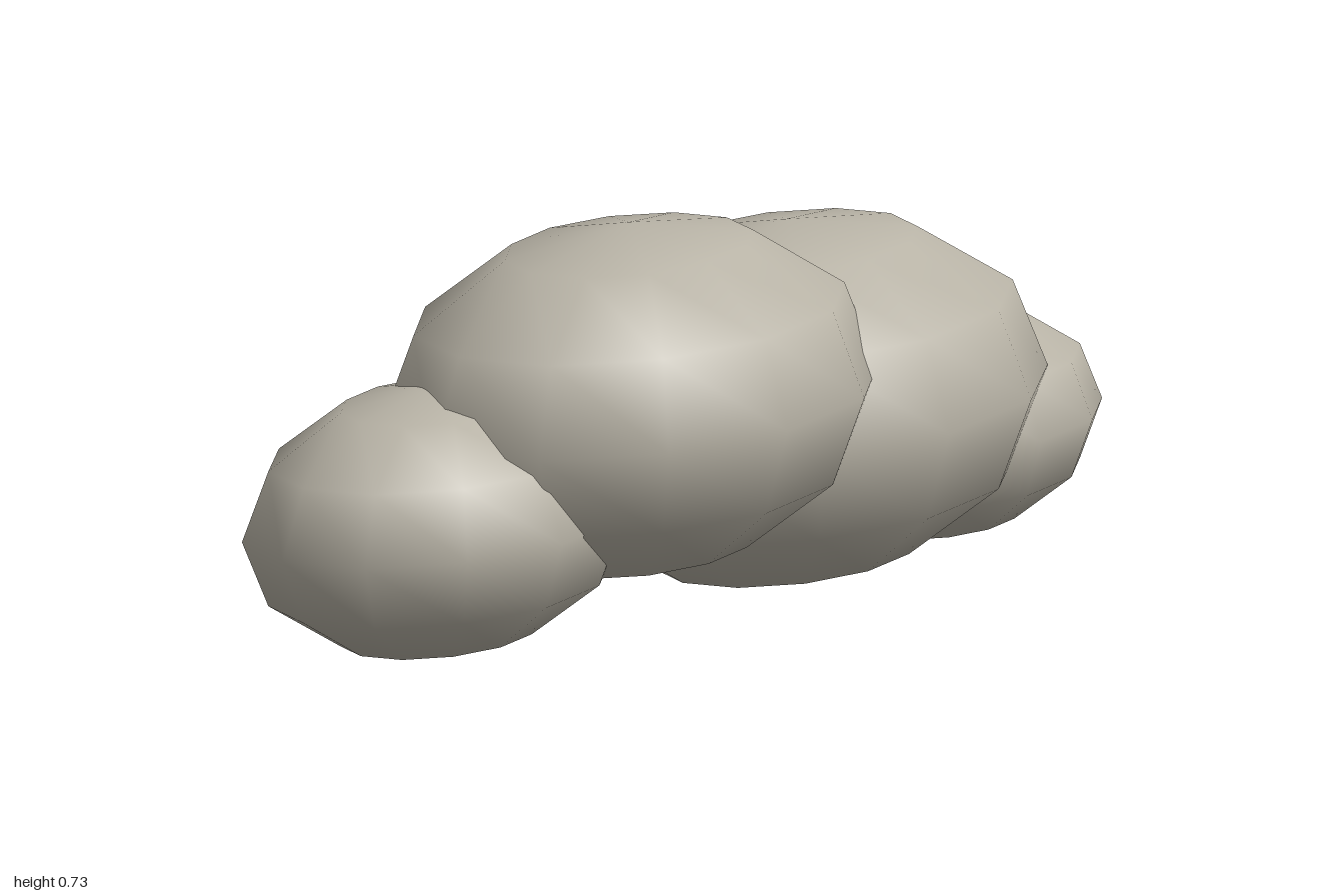
import * as THREE from 'three';

export function createModel() {
  const group = new THREE.Group();
  group.name = 'puffCluster';

  const stone = new THREE.MeshStandardMaterial({ color: 0xb8b3a6 });
  stone.name = 'warmGrey';

  // One coarse, smooth-shaded ball stretched into every lobe
  const ball = new THREE.SphereGeometry(1, 12, 6);

  // name, centre, radii
  const lobes = [
    ['leftEndLobe', [0.665, 0.205, -0.03], [0.335, 0.2, 0.235]],
    ['leftMainLobe', [0.285, 0.315, -0.032], [0.53, 0.3125, 0.366]],
    ['rightMainLobe', [-0.2, 0.426, 0.04], [0.5, 0.303, 0.357]],
    ['rightEndLobe', [-0.6, 0.28, -0.035], [0.4, 0.235, 0.277]],
  ];
  for (const [name, centre, radii] of lobes) {
    const lobe = new THREE.Mesh(ball, stone);
    lobe.name = name;
    lobe.position.set(...centre);
    lobe.scale.set(...radii);
    group.add(lobe);
  }
  return group;
}
